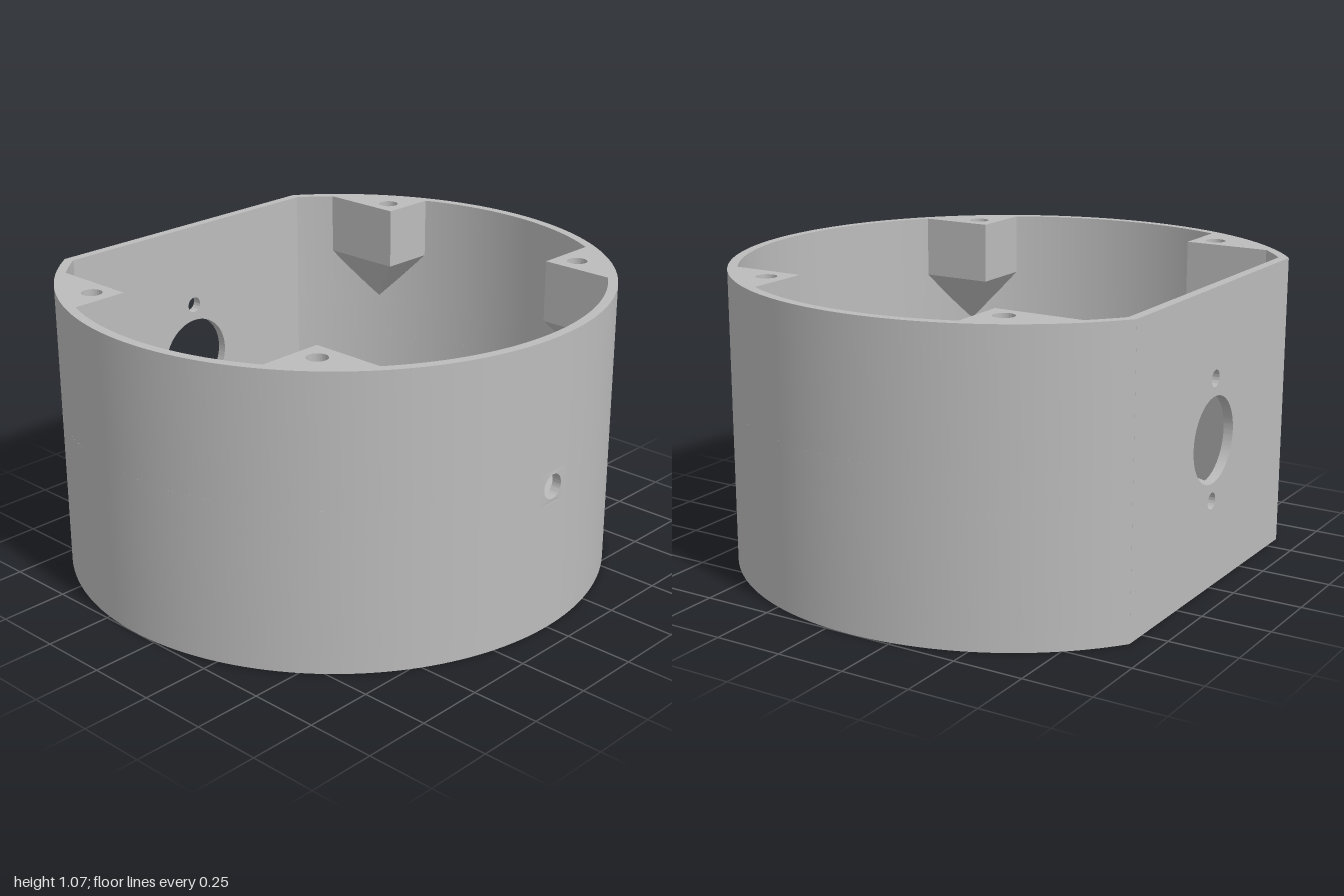
import * as THREE from 'three';
import { toCreasedNormals } from 'three/addons/utils/BufferGeometryUtils.js';
import { ConvexGeometry } from 'three/addons/geometries/ConvexGeometry.js';

const H = 1.07, FLOOR = 0.07, WALL = 0.035, R = 1, RI = R - WALL;
const C = 0.095;                        // plan centre of the round wall (plan y = -z)
const BACK = 0.905;                     // plan y of the flat back
const A_OUT = Math.asin((BACK - C) / R);
const A_IN = Math.asin((BACK - WALL - C) / RI);
const MID = 0.535;                      // height of the wall openings

export function createModel() {
  const group = new THREE.Group();
  const grey = new THREE.MeshStandardMaterial({ color: 0xbcbcbc });
  grey.name = 'plain grey';

  const add = (name, geometry) => {
    const mesh = new THREE.Mesh(geometry, grey);
    mesh.name = name;
    group.add(mesh);
    return mesh;
  };
  const extrude = (shape, depth) => toCreasedNormals(
    new THREE.ExtrudeGeometry(shape, { depth, bevelEnabled: false, curveSegments: 72 }), 0.4);
  // Raises a plan shape from height y0 to y1
  const raise = (name, shape, y0, y1) =>
    add(name, extrude(shape, y1 - y0).rotateX(-Math.PI / 2).translate(0, y0, 0));
  const circle = (x, y, r) => new THREE.Path().absarc(x, y, r, 0, Math.PI * 2, false);
  const polygon = (points) => new THREE.Path(points.map(([x, y]) => new THREE.Vector2(x, y)));

  // Floor, in layers: recess below, eye openings, cable groove, ledge around the openings
  const floorLayer = (name, y0, y1, holes) => {
    const shape = new THREE.Shape();
    shape.absarc(0, C, R, Math.PI - A_OUT, Math.PI * 2 + A_OUT, false);
    shape.closePath();
    shape.holes.push(...holes);
    raise(name, shape, y0, y1);
  };
  const pair = (r) => [circle(0.475, C, r), circle(-0.475, C, r)];
  const groove = polygon([[-0.125, 0.13], [0.125, 0.13], [0.125, 0.87], [-0.125, 0.87]]);
  const half = [[0.125, 0.87], [0.125, 0.245]];
  const open = Math.PI - Math.asin(0.15 / 0.31);
  for (let i = 0; i <= 60; i++) {
    const a = open - (2 * open * i) / 60;
    half.push([0.475 + 0.31 * Math.cos(a), C + 0.31 * Math.sin(a)]);
  }
  half.push([0.12, -0.055], [0.12, 0.13]);
  const ledge = polygon([...half, ...half.map(([x, y]) => [-x, y]).reverse()]);
  floorLayer('floorRecess', 0, 0.03, pair(0.397));
  floorLayer('floorPlate', 0.03, 0.04, pair(0.277));
  floorLayer('floorGroove', 0.04, 0.05, [...pair(0.277), groove]);
  floorLayer('floorLedge', 0.05, FLOOR, [ledge]);

  // Round wall, split in height so that the front can carry a small opening
  const arcShape = (o0, o1, i0, i1) => {
    const s = new THREE.Shape();
    s.absarc(0, C, R, o0, o1, false);
    s.absarc(0, C, RI, i1, i0, true);
    s.closePath();
    return s;
  };
  const front = Math.PI * 1.5, gap = 0.06;
  const o0 = Math.PI - A_OUT, o1 = Math.PI * 2 + A_OUT;
  const i0 = Math.PI - A_IN, i1 = Math.PI * 2 + A_IN;
  raise('lowerWall', arcShape(o0, o1, i0, i1), FLOOR, MID - gap);
  raise('upperWall', arcShape(o0, o1, i0, i1), MID + gap, H);
  raise('middleWallRight', arcShape(o0, front - gap, i0, front - gap), MID - gap, MID + gap);
  raise('middleWallLeft', arcShape(front + gap, o1, front + gap, i1), MID - gap, MID + gap);

  const rectangle = (w, y0, y1) => {
    const s = new THREE.Shape();
    s.moveTo(-w, y0).lineTo(w, y0).lineTo(w, y1).lineTo(-w, y1).closePath();
    return s;
  };
  // Front patch with its opening, bent to the wall curve
  const patch = rectangle(gap, MID - gap, MID + gap);
  patch.holes.push(circle(0, MID, 0.045));
  const patchGeometry = new THREE.ExtrudeGeometry(patch, { depth: WALL, bevelEnabled: false, curveSegments: 32 });
  const p = patchGeometry.attributes.position;
  for (let i = 0; i < p.count; i++) p.setZ(i, p.getZ(i) + BACK - WALL - p.getX(i) ** 2 / 2);
  add('frontOpening', toCreasedNormals(patchGeometry, 0.4));

  // Flat back wall with a large opening and two screw holes
  const back = rectangle(0.586, FLOOR, H);
  back.holes.push(circle(0, MID, 0.155), circle(0, MID + 0.218, 0.03), circle(0, MID - 0.218, 0.03));
  add('backWall', extrude(back, WALL).translate(0, 0, -BACK));

  // Lid screw blocks under the rim, each tapering down to a point on the wall
  const r = RI + 0.006, blockBase = 0.84;
  const block = (name, side, cx, cy, hx, hy) => {
    const a1 = Math.asin((cy - C) / r);
    const a2 = Math.sign(cy) * Math.acos(cx / r);
    const points = [new THREE.Vector2(side * cx, cy)];
    for (let i = 0; i <= 12; i++) {
      const a = a1 + ((a2 - a1) * i) / 12;
      points.push(new THREE.Vector2(side * r * Math.cos(a), C + r * Math.sin(a)));
    }
    const shape = new THREE.Shape(points);
    shape.holes.push(circle(side * hx, hy, 0.037));
    raise(name, shape, blockBase, H);
    const m = (a1 + a2) / 2;
    const tip = new THREE.Vector3(side * r * Math.cos(m), 0.645, -(C + r * Math.sin(m)));
    add(name + 'Taper', new ConvexGeometry(
      [...points.map((q) => new THREE.Vector3(q.x, blockBase, -q.y)), tip]));
  };

  // Hollow posts standing on the floor
  const post = (name, x, y) => {
    const shape = new THREE.Shape().absarc(x, y, 0.065, 0, Math.PI * 2, false);
    shape.holes.push(circle(x, y, 0.037));
    raise(name, shape, FLOOR, 0.2);
  };

  for (const [word, side] of [['Left', 1], ['Right', -1]]) {
    block('backBlock' + word, side, 0.685, 0.455, 0.76, 0.535);
    block('frontBlock' + word, side, 0.595, -0.39, 0.675, -0.47);
    post('outerPost' + word, side * 0.75, 0.39);
    post('innerPost' + word, side * 0.205, -0.2);
  }
  return group;
}
